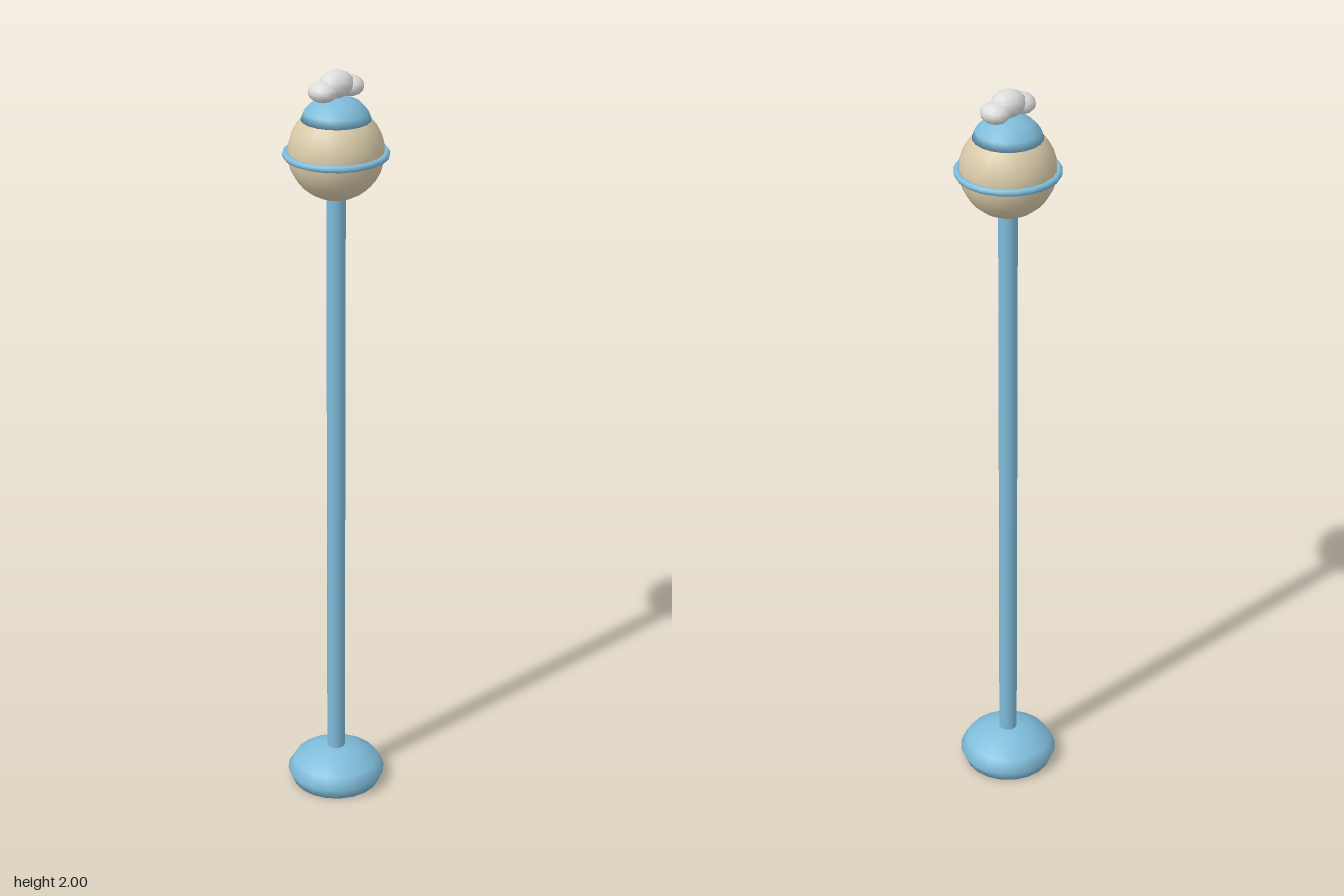
import * as THREE from 'three';

export function createModel() {
  const group = new THREE.Group();
  const blue = new THREE.MeshStandardMaterial({ name: 'paleBlue', color: 0x7fbcda });
  const cream = new THREE.MeshStandardMaterial({ name: 'cream', color: 0xd8caa9 });
  const white = new THREE.MeshStandardMaterial({ name: 'softWhite', color: 0xdcdcdc });

  function add(name, geometry, material, x = 0, y = 0) {
    const mesh = new THREE.Mesh(geometry, material);
    mesh.name = name;
    mesh.position.set(x, y, 0);
    group.add(mesh);
    return mesh;
  }
  const lathe = (points) =>
    new THREE.LatheGeometry(points.map(([r, y]) => new THREE.Vector2(r, y)), 20);

  // Domed foot with an undercut rim
  add('base', lathe([[0, 0], [0.117, 0], [0.131, 0.032], [0.113, 0.063], [0.068, 0.091], [0.025, 0.102], [0, 0.104]]), blue);

  // Slender pole
  add('pole', new THREE.CylinderGeometry(0.024, 0.024, 1.64, 16), blue, 0, 0.88);

  // Ball and the band around its middle
  add('ball', new THREE.SphereGeometry(0.12, 20, 16), cream, 0, 1.795);
  const band = add('band', new THREE.TorusGeometry(0.124, 0.009, 8, 20), blue, 0, 1.791);
  band.rotation.x = Math.PI / 2;

  // Domed cap on the ball
  add('cap', lathe([[0, 1.877], [0.087, 1.877], [0.079, 1.898], [0.058, 1.92], [0.03, 1.931], [0, 1.934]]), blue);

  // Cluster of three flattened puffs
  const puff = new THREE.SphereGeometry(1, 12, 8);
  add('centrePuff', puff, white, 0, 1.966).scale.set(0.048, 0.034, 0.039);
  for (const side of [-1, 1]) {
    add(side > 0 ? 'leftPuff' : 'rightPuff', puff, white, side * 0.043, 1.955).scale.set(0.035, 0.026, 0.039);
  }
  return group;
}
